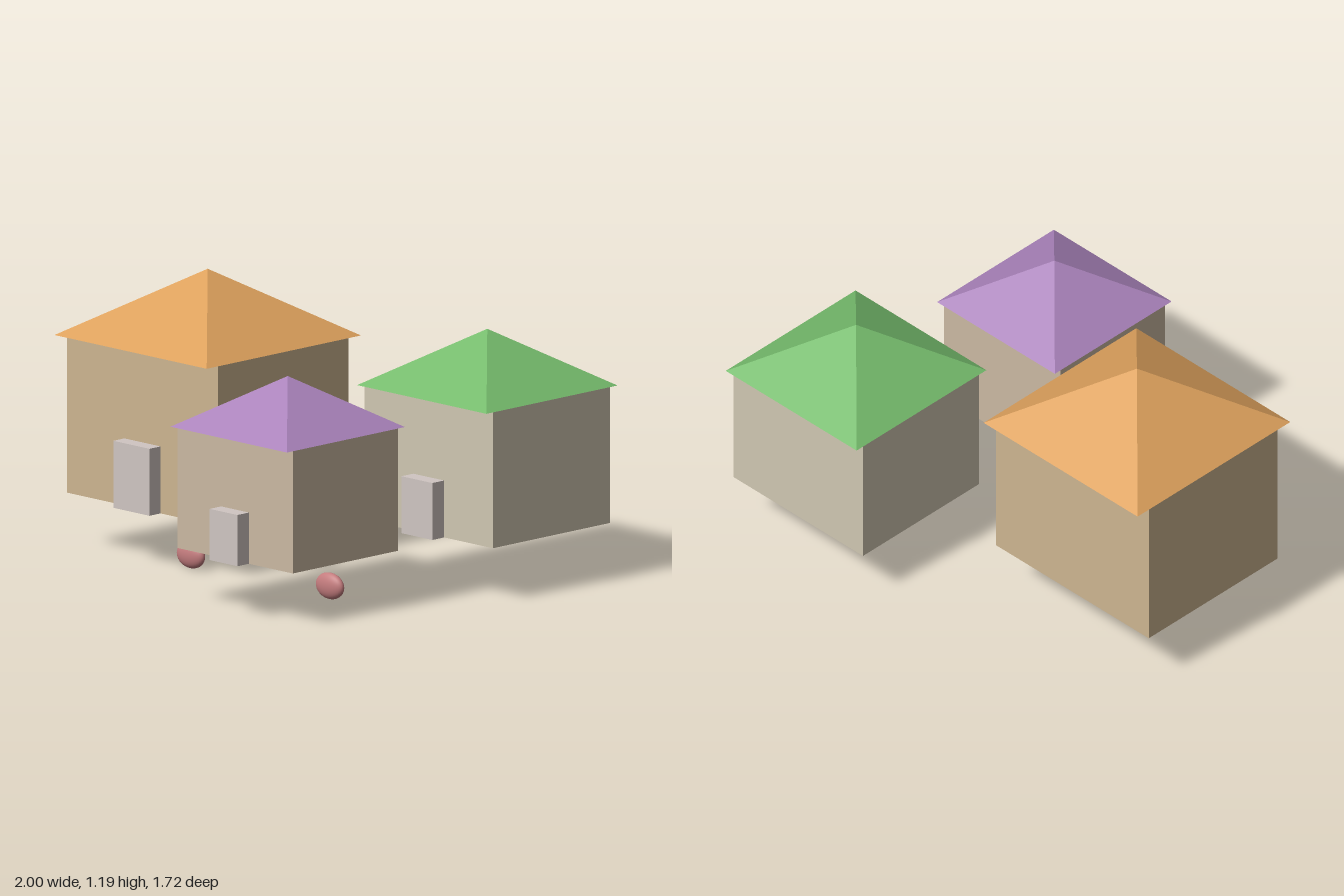
import * as THREE from 'three';

const BASE = 0.23; // height of the house floors

function part(name, geometry, color, x, y, z, flat = false) {
  const mesh = new THREE.Mesh(geometry, new THREE.MeshStandardMaterial({ color, flatShading: flat }));
  mesh.name = name;
  mesh.position.set(x, y, z);
  return mesh;
}

// Box house with a pyramid roof and a door block on the front
function house({ name, x, z, size, depth, doorOut, wall, roof }) {
  const g = new THREE.Group();
  g.name = name;
  g.position.set(x, BASE, z);
  const h = 0.681 * size, roofH = 0.283 * size;
  g.add(part('walls', new THREE.BoxGeometry(0.892 * size, h, depth), wall, 0, h / 2, 0));

  const pyramid = new THREE.ConeGeometry(0.45 * size * Math.SQRT2, roofH, 4);
  pyramid.rotateY(Math.PI / 4);
  g.add(part('roof', pyramid, roof, 0, h + roofH / 2, 0, true));

  const doorH = 0.285 * size, inset = 0.02;
  g.add(part('door', new THREE.BoxGeometry(0.214 * size, doorH, doorOut + inset), 0xd0c6c2,
    0, doorH / 2, depth / 2 + (doorOut - inset) / 2));
  return g;
}

function ellipsoid(name, color, [x, y, z], [rx, ry, rz]) {
  const geometry = new THREE.SphereGeometry(1, 32, 20);
  geometry.scale(rx, ry, rz);
  return part(name, geometry, color, x, y, z);
}

export function createModel() {
  const model = new THREE.Group();
  model.name = 'village';

  // Three houses of falling size
  const houses = [
    { name: 'largeHouse', x: -0.552, z: 0, size: 1, depth: 0.76, doorOut: 0.065, wall: 0xcdb591, roof: 0xdca05c },
    { name: 'mediumHouse', x: 0.615, z: -0.479, size: 0.85, depth: 0.683, doorOut: 0.069, wall: 0xd0c7b2, roof: 0x75bb6c },
    { name: 'smallHouse', x: 0.41, z: 0.483, size: 0.765, depth: 0.614, doorOut: 0.067, wall: 0xcbb9a2, roof: 0xaa83bb },
  ];
  for (const h of houses) model.add(house(h));

  // Flattened pink pebbles below the houses
  for (const [name, x] of [['rightPebble', -0.345], ['leftPebble', 0.477]]) {
    model.add(ellipsoid(name, 0xc47c7e, [x, 0.057, 0.302], [0.078, 0.056, 0.031]));
  }

  // Dark oval with a small bead
  model.add(ellipsoid('darkOval', 0x2c2524, [-0.072, 0.642, 0.376], [0.066, 0.09, 0.032]));
  model.add(ellipsoid('bead', 0x978c82, [-0.047, 0.714, 0.421], [0.021, 0.021, 0.021]));
  return model;
}
